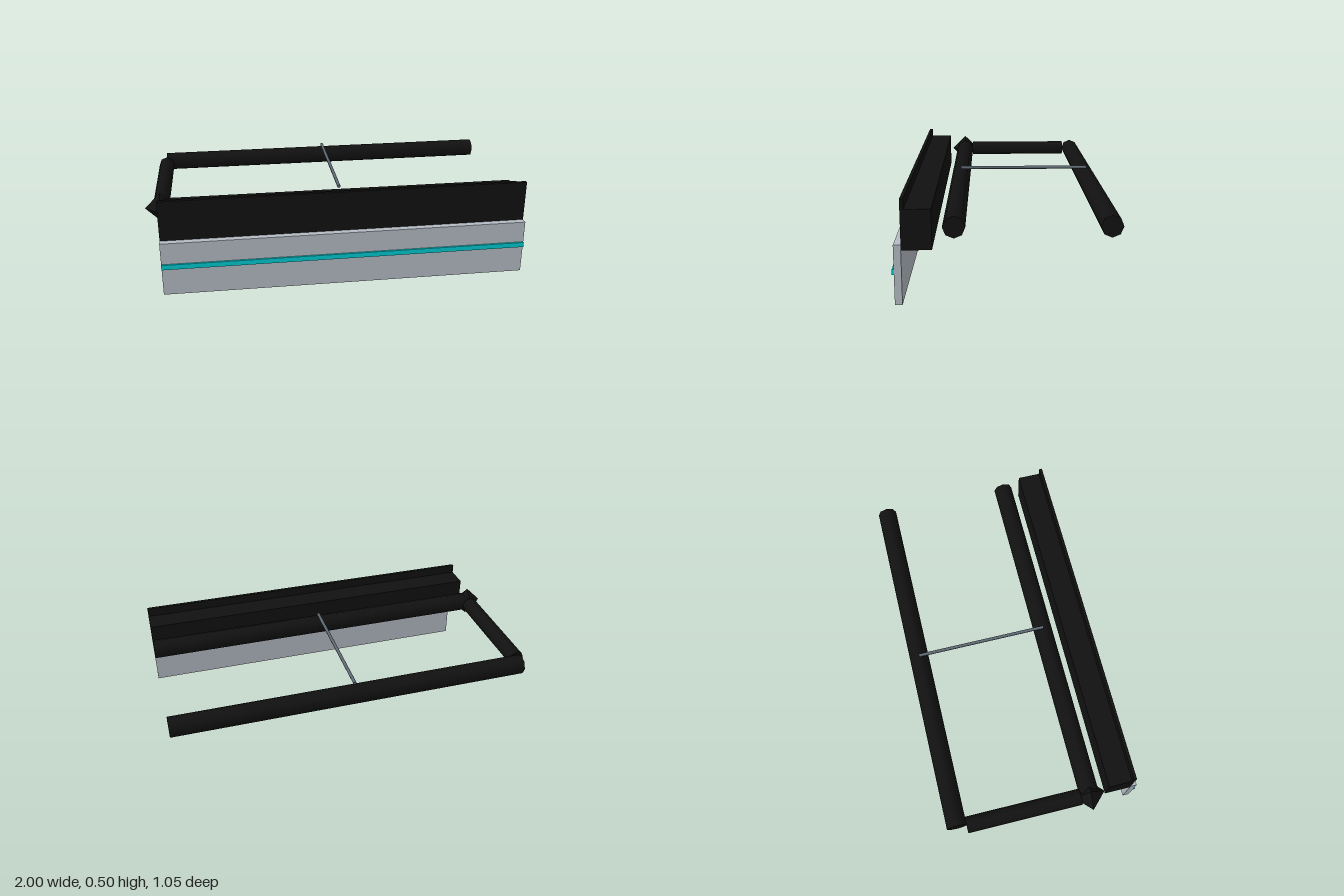
import * as THREE from 'three';

const mat = (name, color) => Object.assign(new THREE.MeshStandardMaterial({ color }), { name });

export function createModel() {
  const model = new THREE.Group();
  model.name = 'railFrame';
  const black = mat('black', 0x111111);
  const grey = mat('lightGrey', 0xb4bcc4);
  const cyan = mat('cyan', 0x00ccd2);
  const steel = mat('steelGrey', 0x5f6b75);

  const X0 = -0.917, X1 = 1; // shared extent of all long parts
  const PIPE_Y = 0.372, FRONT_Z = 0.243, BACK_Z = -0.474;

  const add = (name, geometry, material) => {
    const mesh = new THREE.Mesh(geometry, material);
    mesh.name = name;
    model.add(mesh);
    return mesh;
  };

  // Full-length bar given by its y and z limits
  const bar = (name, y0, y1, z0, z1, material) =>
    add(name, new THREE.BoxGeometry(X1 - X0, y1 - y0, z1 - z0), material)
      .position.set((X0 + X1) / 2, (y0 + y1) / 2, (z0 + z1) / 2);

  // Pipe between two points
  const pipe = (name, a, b, radius, sides, material) => {
    const from = new THREE.Vector3(...a), to = new THREE.Vector3(...b);
    const dir = to.clone().sub(from);
    const mesh = add(name, new THREE.CylinderGeometry(radius, radius, dir.length(), sides), material);
    mesh.position.copy(from).add(to).multiplyScalar(0.5);
    mesh.quaternion.setFromUnitVectors(new THREE.Vector3(0, 1, 0), dir.normalize());
  };

  // Beam with its raised front plate
  bar('beam', 0.265, 0.457, 0.342, 0.466, black);
  bar('beamPlate', 0.265, 0.505, 0.466, 0.483, black);

  // Hanging panel and its accent strip
  bar('frontPanel', 0, 0.29, 0.483, 0.518, grey);
  bar('accentStrip', 0.147, 0.174, 0.518, 0.5275, cyan);

  // Two long rails joined by an end pipe
  pipe('frontRail', [X0, PIPE_Y, FRONT_Z], [X1, PIPE_Y, FRONT_Z], 0.0525, 8, black);
  pipe('backRail', [X0, PIPE_Y, BACK_Z], [X1, PIPE_Y, BACK_Z], 0.0525, 8, black);
  pipe('endPipe', [X0, PIPE_Y, -0.422], [X0, PIPE_Y, 0.192], 0.0435, 8, black);

  // Faceted corner joint
  add('cornerJoint', new THREE.OctahedronGeometry(0.083), black).position.set(X0, PIPE_Y, FRONT_Z);

  // Thin cross rod lying over the rails
  pipe('crossRod', [0.037, 0.438, BACK_Z + 0.002], [0.037, 0.438, FRONT_Z - 0.002], 0.009, 6, steel);

  return model;
}
